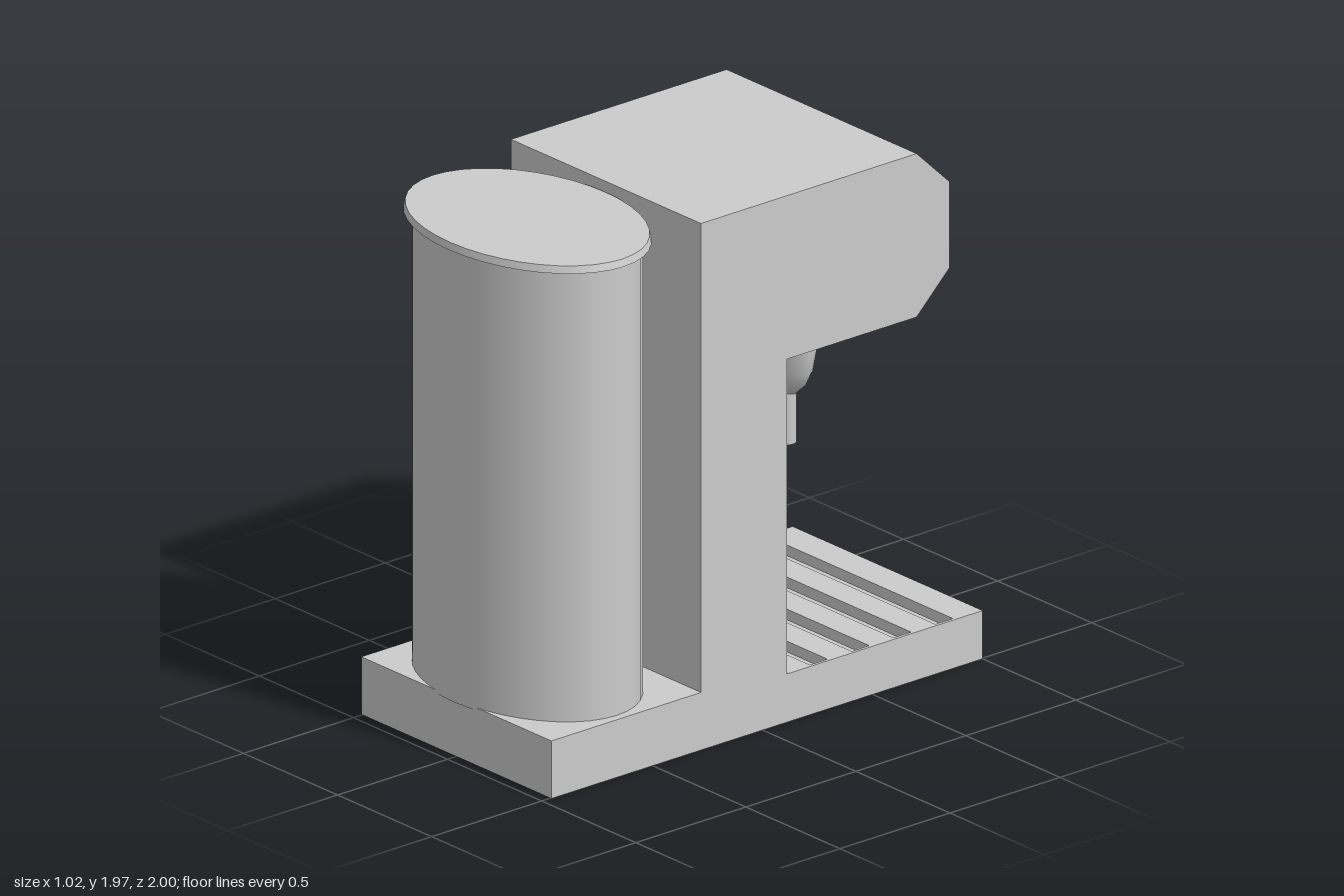
import * as THREE from 'three';

const HALF_W = 0.505;

export function createModel() {
  const group = new THREE.Group();
  const material = new THREE.MeshStandardMaterial({ color: 0xcccccc });

  const add = (name, geometry, x = 0, y = 0, z = 0) => {
    const mesh = new THREE.Mesh(geometry, material);
    mesh.name = name;
    mesh.position.set(x, y, z);
    group.add(mesh);
    return mesh;
  };
  const points = (list) => list.map(([a, b]) => new THREE.Vector2(a, b));

  // Body: one side profile (z, y) with base, column and chamfered head
  const profile = new THREE.Shape(points([
    [0.96, 0], [0.96, 0.215], [0.28, 0.215], [0.28, 1.965],
    [-0.7, 1.965], [-0.85, 1.82], [-0.85, 1.5], [-0.7, 1.355],
    [-0.11, 1.355], [-0.11, 0.14], [-1, 0.14], [-1, 0],
  ]));
  const body = new THREE.ExtrudeGeometry(profile, { depth: HALF_W * 2, bevelEnabled: false });
  body.rotateY(-Math.PI / 2);
  add('body', body, HALF_W);

  // Drip tray: thin plate with a row of slots across its width
  const rect = (Type, w, z0, z1) => new Type(points([[-w, z0], [w, z0], [w, z1], [-w, z1]]));
  const plate = rect(THREE.Shape, HALF_W, -1, -0.11);
  for (let i = 0; i < 4; i++) {
    const z = -0.875 + i * 0.19;
    plate.holes.push(rect(THREE.Path, HALF_W - 0.012, z, z + 0.08));
  }
  const tray = new THREE.ExtrudeGeometry(plate, { depth: 0.04, bevelEnabled: false });
  tray.rotateX(Math.PI / 2);
  add('dripTray', tray, 0, 0.18, 0);

  // Oval water tank and its overhanging lid
  const tank = new THREE.CylinderGeometry(1, 1, 1.7, 40);
  tank.scale(0.475, 1, 0.333);
  add('waterTank', tank, 0, 1.055, 0.637);

  const lid = new THREE.CylinderGeometry(0.985, 1, 0.027, 40);
  lid.scale(0.511, 1, 0.358);
  add('tankLid', lid, 0, 1.9135, 0.637);

  // Oval brew spout, rounded below, with two nozzles
  const spout = new THREE.LatheGeometry(points([
    [0, 0.985], [0.03, 0.99], [0.06, 1.015], [0.08, 1.055],
    [0.093, 1.11], [0.101, 1.19], [0.105, 1.28], [0.106, 1.36],
  ]), 32);
  spout.scale(2.2, 1, 1);
  add('spout', spout, 0, 0, -0.4625);

  for (const side of [-1, 1]) {
    add('nozzle', new THREE.CylinderGeometry(0.036, 0.036, 0.22, 20), side * 0.097, 0.94, -0.456);
  }

  return group;
}
